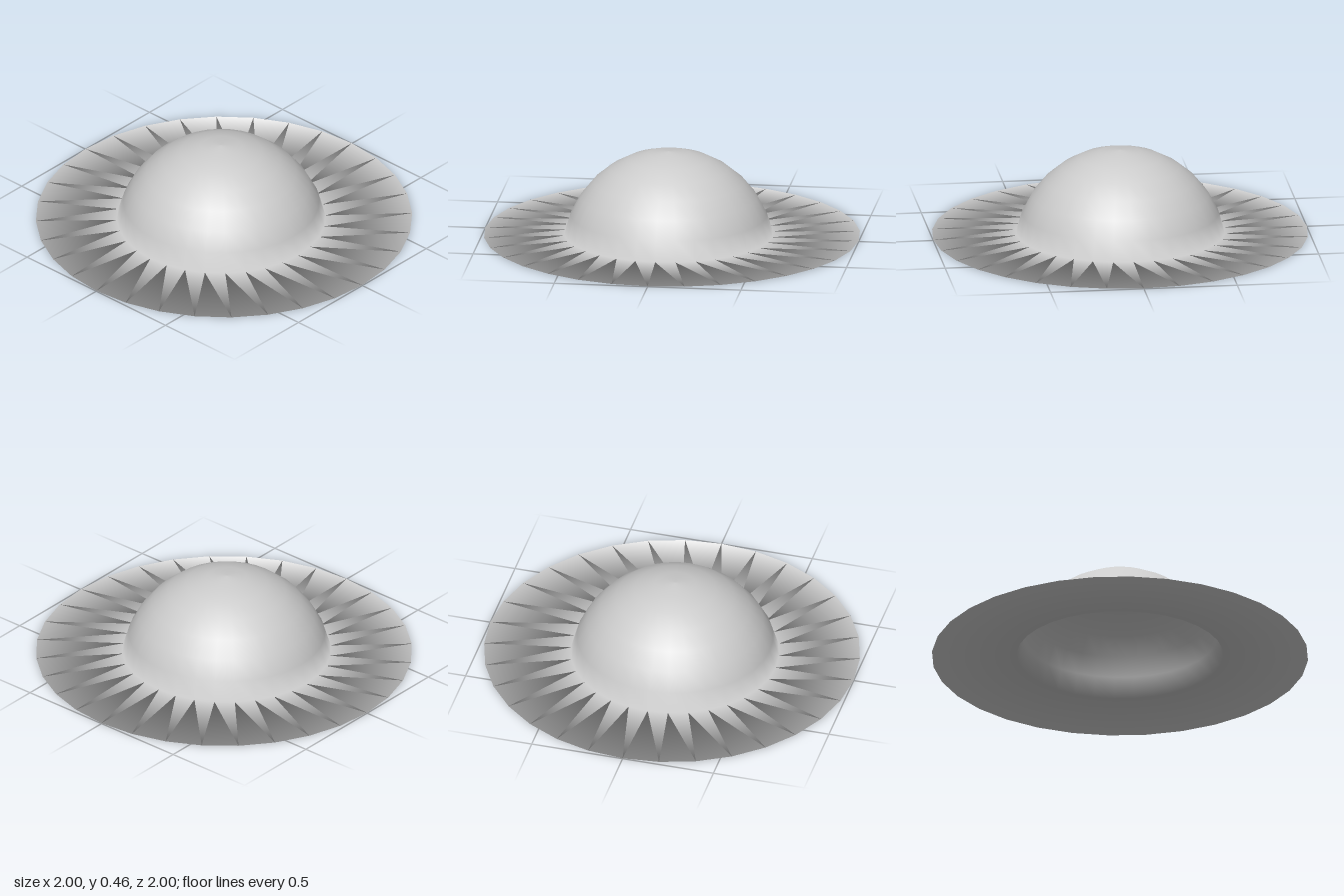
import * as THREE from 'three';

// Dome arc from the apex down to the brim, as part of a sphere sunk below the ground
function domeArc(radius, steps = 7) {
  const points = [];
  for (let i = 0; i <= steps; i++) {
    const a = (i * Math.PI) / 16;
    points.push(new THREE.Vector2(radius * Math.sin(a), Math.max(0, radius * Math.cos(a) - 0.105)));
  }
  return points;
}

export function createModel() {
  const group = new THREE.Group();
  group.name = 'hat';

  // Thin closed shell: inside of the crown, underside of the brim, rim, top of the brim, crown
  const inner = domeArc(0.56);
  inner[inner.length - 1].y = 0;
  const outer = domeArc(0.565).reverse();
  const profile = [...inner, new THREE.Vector2(1, 0.0025), ...outer];
  const geometry = new THREE.LatheGeometry(profile, 32);

  // The crown sits slightly off the middle of the brim
  const pos = geometry.attributes.position;
  for (let i = 0; i < pos.count; i++) {
    if (Math.hypot(pos.getX(i), pos.getZ(i)) < 0.8) {
      pos.setX(i, pos.getX(i) - 0.004);
      pos.setZ(i, pos.getZ(i) + 0.018);
    }
  }

  const shell = new THREE.Mesh(
    geometry,
    new THREE.MeshStandardMaterial({ color: 0xcccccc, side: THREE.DoubleSide })
  );
  shell.name = 'crownAndBrim';
  group.add(shell);
  return group;
}
